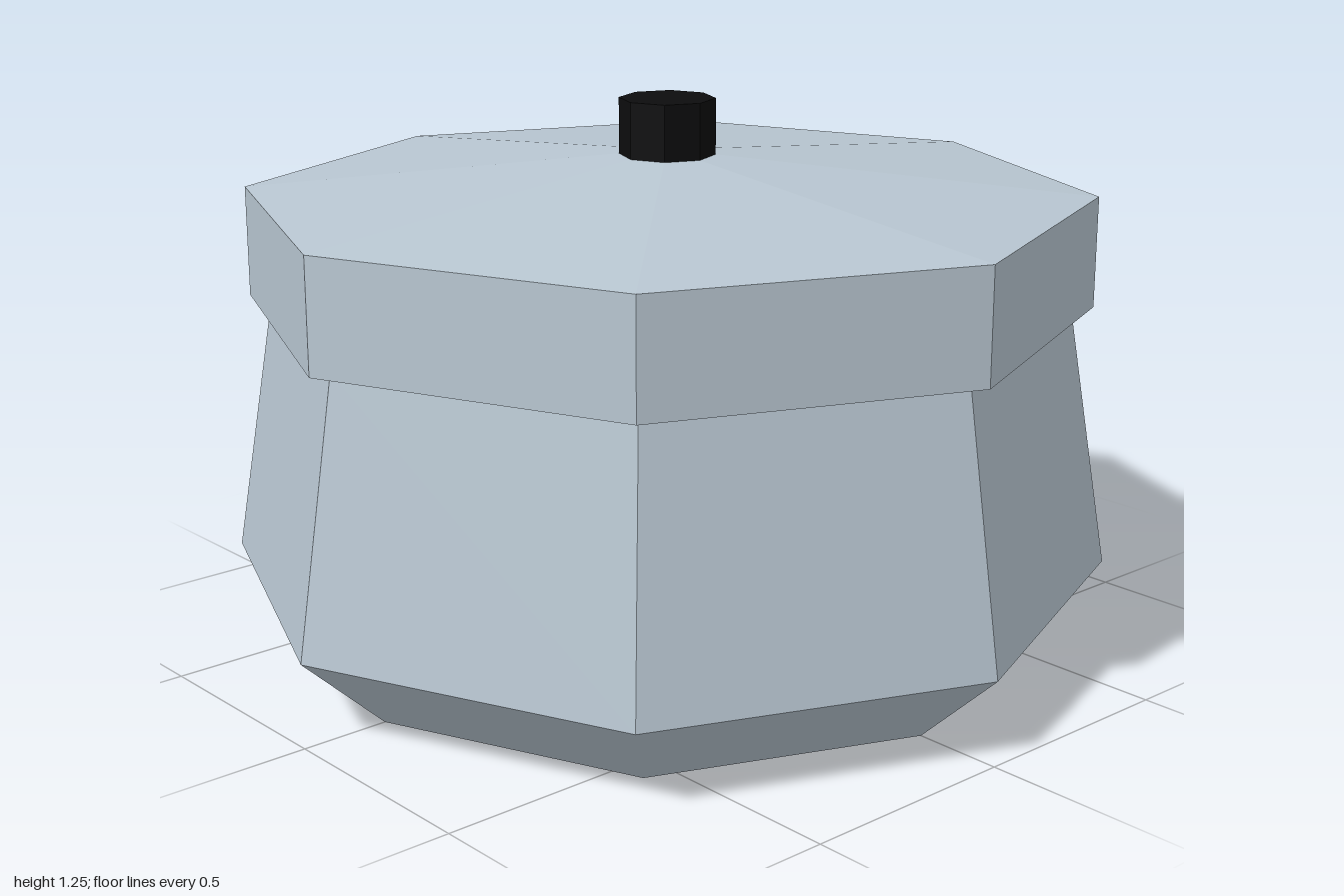
import * as THREE from 'three';

const steel = new THREE.MeshStandardMaterial({ name: 'paleSteel', color: 0xb8c6d1, flatShading: true });
const black = new THREE.MeshStandardMaterial({ name: 'blackKnob', color: 0x0c0c0d, flatShading: true });

// Eight-sided solid turned from [radius, height] points, listed bottom to top
function turned(name, profile, material) {
  const points = profile.map(([r, y]) => new THREE.Vector2(r, y));
  const mesh = new THREE.Mesh(new THREE.LatheGeometry(points, 8), material);
  mesh.name = name;
  return mesh;
}

export function createModel() {
  const group = new THREE.Group();
  group.name = 'lidded pot';
  // Pot body: chamfered foot, widest at the shoulder, tapering up under the lid
  group.add(turned('potBody', [[0, 0], [0.8, 0], [1, 0.187], [0.9, 0.79]], steel));
  // Lid: straight rim with a shallow conical top
  group.add(turned('lid', [[0, 0.787], [0.95, 0.787], [0.95, 1.037], [0.107, 1.122], [0, 1.122]], steel));
  // Knob on the lid
  group.add(turned('knob', [[0, 1.12], [0.107, 1.12], [0.107, 1.247], [0, 1.247]], black));
  return group;
}
